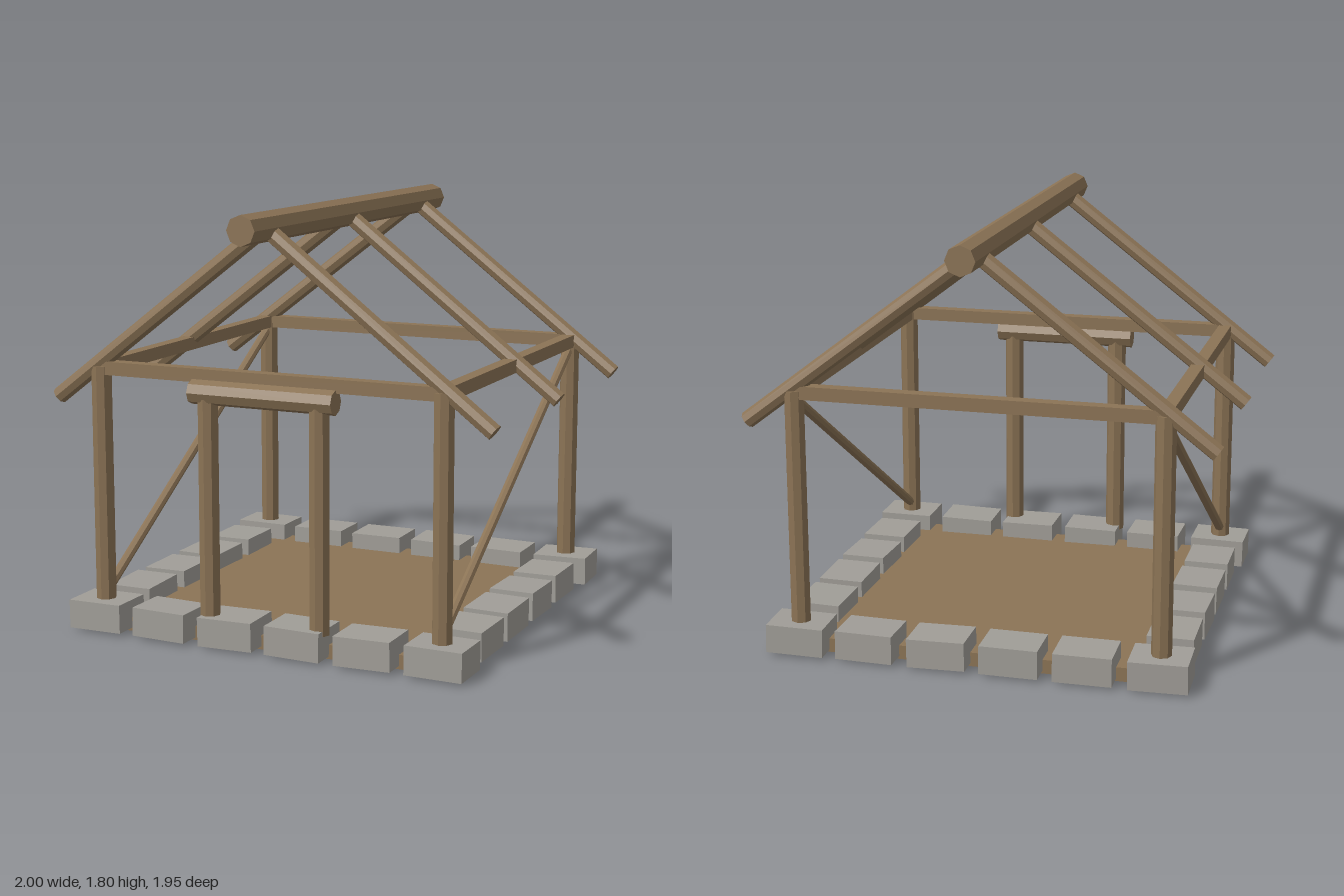
import * as THREE from 'three';

export function createModel() {
  const model = new THREE.Group();
  model.name = 'timberFrame';
  const wood = new THREE.MeshStandardMaterial({ name: 'wood', color: 0x8b7355, flatShading: true });
  const stone = new THREE.MeshStandardMaterial({ name: 'stone', color: 0xa09d97, flatShading: true });
  const up = new THREE.Vector3(0, 1, 0);

  // Eight-sided log between two points
  function log(name, a, b, radius) {
    const from = new THREE.Vector3(...a), to = new THREE.Vector3(...b);
    const dir = to.clone().sub(from);
    const mesh = new THREE.Mesh(new THREE.CylinderGeometry(radius, radius, dir.length(), 8), wood);
    mesh.position.copy(from).add(to).multiplyScalar(0.5);
    mesh.quaternion.setFromUnitVectors(up, dir.normalize());
    mesh.name = name;
    model.add(mesh);
  }

  function box(name, size, position, material) {
    const mesh = new THREE.Mesh(new THREE.BoxGeometry(...size), material);
    mesh.position.set(...position);
    mesh.name = name;
    model.add(mesh);
    return mesh;
  }

  // Floor slab
  box('floor', [1.54, 0.06, 1.54], [0, 0.03, 0], wood);

  // Ring of slightly crooked foundation stones
  let seed = 7;
  const jitter = (amount) => {
    seed = (seed * 16807) % 2147483647;
    return (seed / 2147483647 - 0.5) * 2 * amount;
  };
  function foundationStone(x, z, alongX) {
    const mesh = box('foundationStone', alongX ? [0.246, 0.122, 0.198] : [0.198, 0.122, 0.246],
      [x, 0.073, z], stone);
    mesh.rotation.set(jitter(0.02), jitter(0.03), jitter(0.02));
  }
  const E = 0.77;
  for (const side of [-1, 1]) {
    for (let i = 0; i < 6; i++) {
      const t = -E + (i * 2 * E) / 5;
      foundationStone(t, side * E, true);
      if (i > 0 && i < 5) foundationStone(side * E, t, false);
    }
  }

  for (const s of [-1, 1]) {
    // Corner posts
    for (const z of [-E, E]) log('cornerPost', [s * E, 0.1, z], [s * E, 1.135, z], 0.043);

    // Square wall plates
    box('sidePlate', [0.056, 0.056, 2 * E], [s * E, 1.129, 0], wood);
    box('endPlate', [2 * E, 0.056, 0.056], [0, 1.129, s * E], wood);

    // Diagonal side braces
    log('brace', [s * E, 0.16, E], [s * E, 1.1, -E], 0.021);

    // Rafters
    for (const z of [-E, 0, E]) log('rafter', [0, 1.74, z], [s * 0.977, 0.993, z], 0.036);

    // Door posts
    log('doorPost', [s * 0.25, 0.11, 0.8], [s * 0.25, 1.04, 0.8], 0.043);
  }

  // Door lintel and ridge beam
  log('doorLintel', [-0.322, 1.063, 0.8], [0.322, 1.063, 0.8], 0.051);
  log('ridgeBeam', [0, 1.742, -0.977], [0, 1.742, 0.977], 0.062);

  return model;
}
